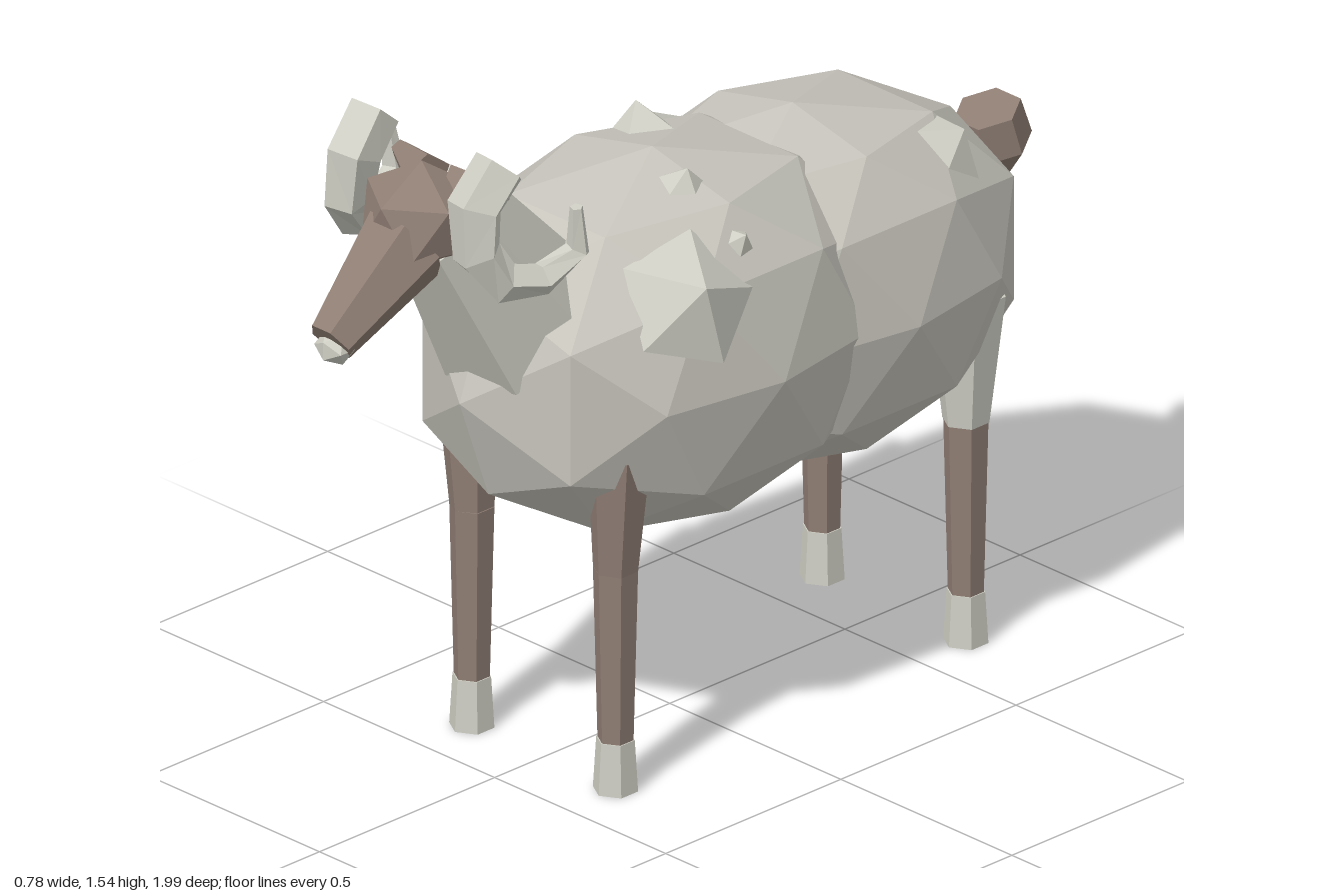
import * as THREE from 'three';

const V = (x, y, z) => new THREE.Vector3(x, y, z);
const UP = V(0, 1, 0);
const paint = (name, color) => {
  const m = new THREE.MeshStandardMaterial({ color, flatShading: true });
  m.name = name;
  return m;
};

// Faceted mesh with a name
function part(name, geometry, material) {
  const g = geometry.index ? geometry.toNonIndexed() : geometry;
  g.computeVertexNormals();
  const mesh = new THREE.Mesh(g, material);
  mesh.name = name;
  return mesh;
}

// Faceted ellipsoid
function blob(name, material, pos, scale, rot = [0, 0, 0]) {
  const mesh = part(name, new THREE.IcosahedronGeometry(1, 0), material);
  mesh.position.set(...pos);
  mesh.scale.set(...scale);
  mesh.rotation.set(...rot);
  return mesh;
}

// Faceted ellipsoid with slightly squared sides
function barrel(name, material, pos, scale) {
  const geo = new THREE.IcosahedronGeometry(1, 1);
  const p = geo.attributes.position;
  const full = v => Math.sign(v) * Math.pow(Math.abs(v), 0.85);
  for (let i = 0; i < p.count; i++) {
    p.setXYZ(i, full(p.getX(i)) * scale[0], full(p.getY(i)) * scale[1], p.getZ(i) * scale[2]);
  }
  const mesh = part(name, geo, material);
  mesh.position.set(...pos);
  return mesh;
}

// Tapered prism running from a to b
function limb(name, material, a, b, ra, rb, sides = 6, turn = 0) {
  const dir = b.clone().sub(a);
  const geo = new THREE.CylinderGeometry(rb, ra, dir.length(), sides).rotateY(turn);
  const mesh = part(name, geo, material);
  mesh.position.copy(a).add(b).multiplyScalar(0.5);
  mesh.quaternion.setFromUnitVectors(UP, dir.normalize());
  return mesh;
}

// Tapered capped tube through a list of [x, y, z, radius]
function curledHorn(path, sides) {
  const pts = path.map(p => V(p[0], p[1], p[2]));
  const verts = [], index = [];
  const last = pts.length - 1;
  pts.forEach((p, i) => {
    const t = pts[Math.min(i + 1, last)].clone().sub(pts[Math.max(i - 1, 0)]).normalize();
    const v = t.clone().cross(V(1, 0, 0)).normalize();
    const u = v.clone().cross(t);
    for (let j = 0; j < sides; j++) {
      const a = (j / sides) * Math.PI * 2;
      const q = p.clone().addScaledVector(u, path[i][3] * Math.cos(a)).addScaledVector(v, path[i][3] * Math.sin(a));
      verts.push(q.x, q.y, q.z);
    }
  });
  for (let i = 0; i < last; i++) {
    for (let j = 0; j < sides; j++) {
      const k = (j + 1) % sides, A = i * sides, B = A + sides;
      index.push(A + j, A + k, B + k, A + j, B + k, B + j);
    }
  }
  for (let j = 1; j < sides - 1; j++) {
    const e = last * sides;
    index.push(0, j + 1, j, e, e + j, e + j + 1);
  }
  const g = new THREE.BufferGeometry();
  g.setAttribute('position', new THREE.Float32BufferAttribute(verts, 3));
  g.setIndex(index);
  return g;
}

export function createModel() {
  const wool = paint('wool', 0xc6c4bb);
  const pale = paint('pale horn', 0xcecec4);
  const brown = paint('brown hide', 0x8f7e74);
  const model = new THREE.Group();
  model.name = 'ram';

  // Woolly body
  model.add(
    barrel('chest', wool, [0, 0.88, 0.05], [0.39, 0.4, 0.55]),
    barrel('rump', wool, [0, 0.865, -0.35], [0.375, 0.38, 0.53])
  );

  // Low five-sided tufts of wool: x, y, z, radius, height, turn, body centre z
  const tufts = [
    [0.285, 1.09, 0.23, 0.15, 0.11, 0.3, 0.05],
    [-0.265, 1.08, -0.23, 0.15, 0.1, 0.8, 0.05],
    [-0.15, 1.2, -0.07, 0.1, 0.085, 0.5, 0.05],
    [0.12, 1.24, 0.08, 0.055, 0.05, 0.2, 0.05],
    [0.265, 1.155, 0.07, 0.045, 0.045, 1.1, 0.05],
    [0.18, 1.115, -0.6, 0.115, 0.07, 0.9, -0.35]
  ];
  for (const [x, y, z, r, h, turn, cz] of tufts) {
    const geo = new THREE.ConeGeometry(r, h, 5).rotateY(turn).translate(0, h / 2, 0);
    const tuft = part('woolTuft', geo, pale);
    tuft.position.set(x, y, z);
    tuft.quaternion.setFromUnitVectors(UP, V(x, y - 0.88, (z - cz) * 0.5).normalize());
    model.add(tuft);
  }

  // Neck
  model.add(limb('neck', pale, V(0, 1.01, 0.425), V(0, 1.33, 0.65), 0.19, 0.125, 6, Math.PI / 6 + 0.12));

  // Head
  const head = new THREE.Group();
  head.name = 'head';
  head.add(
    blob('skull', brown, [0, 1.35, 0.715], [0.14, 0.13, 0.115], [-1.017, 0, 0]),
    limb('muzzle', brown, V(0, 1.3, 0.755), V(0, 1.145, 0.968), 0.1, 0.053, 6, Math.PI / 6),
    blob('nose', pale, [0, 1.13, 0.957], [0.046, 0.038, 0.038])
  );
  model.add(head);

  // Ears and horns, mirrored
  const hornPath = [
    [0.187, 1.505, 0.665, 0.058], [0.18, 1.43, 0.73, 0.06], [0.19, 1.33, 0.735, 0.053],
    [0.215, 1.26, 0.685, 0.046], [0.245, 1.25, 0.6, 0.036], [0.27, 1.3, 0.525, 0.027],
    [0.275, 1.4, 0.535, 0.014]
  ];
  for (const s of [1, -1]) {
    const horn = part(s > 0 ? 'leftHorn' : 'rightHorn', curledHorn(hornPath, 5), pale);
    horn.scale.x = s;
    head.add(horn);
    head.add(limb(s > 0 ? 'leftEar' : 'rightEar', brown, V(s * 0.04, 1.4, 0.655), V(s * 0.155, 1.415, 0.62), 0.055, 0.02, 5));
  }

  // Legs with hooves
  for (const s of [1, -1]) {
    for (const [end, z] of [['front', 0.36], ['rear', -0.64]]) {
      const x = s * 0.21;
      const leg = new THREE.Group();
      leg.name = end + (s > 0 ? 'LeftLeg' : 'RightLeg');
      leg.add(
        limb('hoof', pale, V(x, 0, z), V(x, 0.115, z), 0.048, 0.041),
        limb('shin', brown, V(x, 0.1, z), V(x, 0.5, z), 0.038, 0.048),
        end === 'front'
          ? limb('thigh', brown, V(x, 0.5, z), V(x + s * 0.01, 0.77, z), 0.048, 0.068)
          : limb('thigh', pale, V(x, 0.5, z), V(x, 0.79, z), 0.05, 0.085)
      );
      model.add(leg);
    }
  }

  // Stubby tail
  const tailProfile = [[0, -0.11], [0.08, -0.01], [0.072, 0.075], [0, 0.075]].map(p => new THREE.Vector2(...p));
  const tail = part('tail', new THREE.LatheGeometry(tailProfile, 6).rotateY(Math.PI / 6), brown);
  tail.position.set(0, 0.97, -0.925);
  tail.rotation.x = 0.25;
  model.add(tail);

  return model;
}
